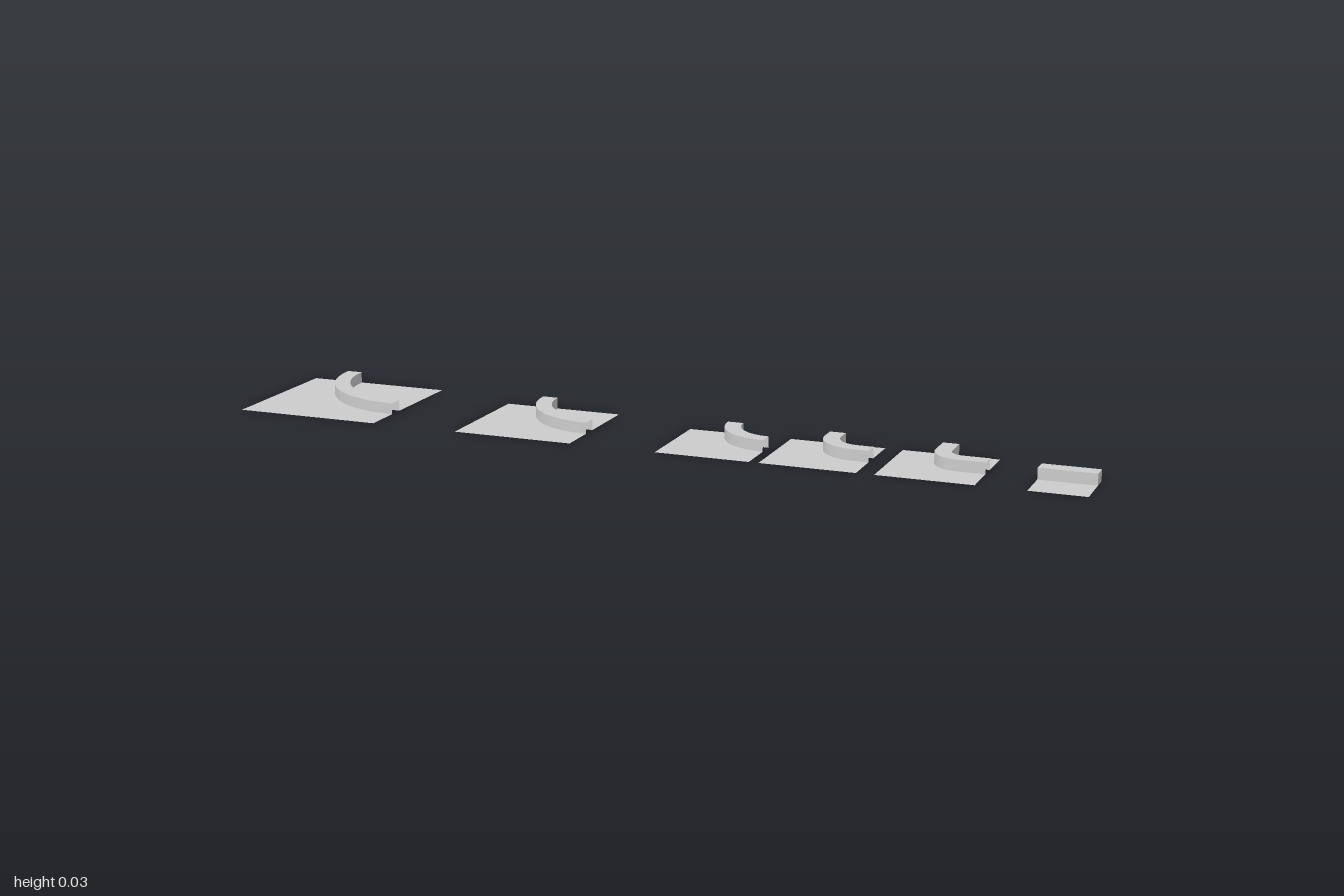
import * as THREE from 'three';

const WIDTH = 0.037, HEIGHT = 0.026;  // kerb section
const FRONT = 0.174, KERB_FRONT = 0.083;  // z of the shared front lines

// Quarter bend in plan (x, -z): from the back edge round to the right edge.
function bend(right, back, reach, radius) {
  const pts = [];
  if (reach - radius > 0.001) pts.push(new THREE.Vector2(right - reach, back));
  const cx = right - reach + radius, cy = back - reach + radius;
  for (let i = 0; i <= 20; i++) {
    const a = Math.PI + (i / 20) * Math.PI / 2;
    pts.push(new THREE.Vector2(cx + radius * Math.cos(a), cy + radius * Math.sin(a)));
  }
  if (reach - radius > 0.001) pts.push(new THREE.Vector2(right, back - reach));
  return pts;
}

// Flat sheet facing up, outlined in plan.
function sheet(points, y) {
  return new THREE.ShapeGeometry(new THREE.Shape(points)).rotateX(-Math.PI / 2).translate(0, y, 0);
}

// Upright wall following a plan path.
function wall(points) {
  const geo = new THREE.PlaneGeometry(1, 1, points.length - 1, 1);
  const pos = geo.attributes.position;
  for (let i = 0; i < pos.count; i++) {
    const p = points[i % points.length];
    pos.setXYZ(i, p.x, i < points.length ? HEIGHT : 0, -p.y);
  }
  geo.computeVertexNormals();
  return geo;
}

export function createModel() {
  const model = new THREE.Group();
  const concrete = new THREE.MeshStandardMaterial({ color: 0xcccccc, side: THREE.DoubleSide });
  concrete.name = 'light grey';
  const V = (x, y) => new THREE.Vector2(x, y);
  const add = (group, name, geo) => {
    const mesh = new THREE.Mesh(geo, concrete);
    mesh.name = name;
    group.add(mesh);
  };

  // Corner pieces: hollow bent kerb between an outer and an inner ground sheet.
  const corners = [
    { name: 'largeCorner', left: -1, right: -0.652, back: 0.174, radius: 0.257, inside: true },
    { name: 'mediumCorner', left: -0.444, right: -0.16, back: 0.11, radius: 0.193, inside: true },
    { name: 'openCorner', left: 0.043, right: 0.262, back: 0.045, radius: 0.128, inside: false },
    { name: 'smallCorner', left: 0.284, right: 0.503, back: 0.045, radius: 0.093, inside: true },
    { name: 'tightCorner', left: 0.543, right: 0.761, back: 0.045, radius: 0.068, inside: true },
  ];
  for (const c of corners) {
    const group = new THREE.Group();
    group.name = c.name;
    const reach = c.back + KERB_FRONT;
    const outer = bend(c.right, c.back, reach, c.radius);
    const inner = bend(c.right, c.back, reach - WIDTH, c.radius - WIDTH);
    const innerBack = [...inner].reverse();
    add(group, 'outerGround', sheet([...outer, V(c.right, -FRONT), V(c.left, -FRONT), V(c.left, c.back)], 0));
    if (c.inside) add(group, 'innerGround', sheet([...inner, V(c.right, c.back)], 0));
    add(group, 'kerbTop', sheet([...outer, ...innerBack], HEIGHT));
    add(group, 'kerbOuterWall', wall(outer));
    add(group, 'kerbInnerWall', wall(innerBack));
    model.add(group);
  }

  // Straight piece: short kerb with ground in front.
  const straight = new THREE.Group();
  straight.name = 'straightPiece';
  const l = 0.872, r = 1, f = -KERB_FRONT, b = f + WIDTH;
  const ring = [V(l, f), V(r, f), V(r, b), V(l, b)];
  add(straight, 'ground', sheet([V(l, -FRONT), V(r, -FRONT), V(r, f), V(l, f)], 0));
  add(straight, 'kerbTop', sheet(ring, HEIGHT));
  ring.forEach((p, i) => add(straight, 'kerbWall', wall([p, ring[(i + 1) % 4]])));
  model.add(straight);

  return model;
}
